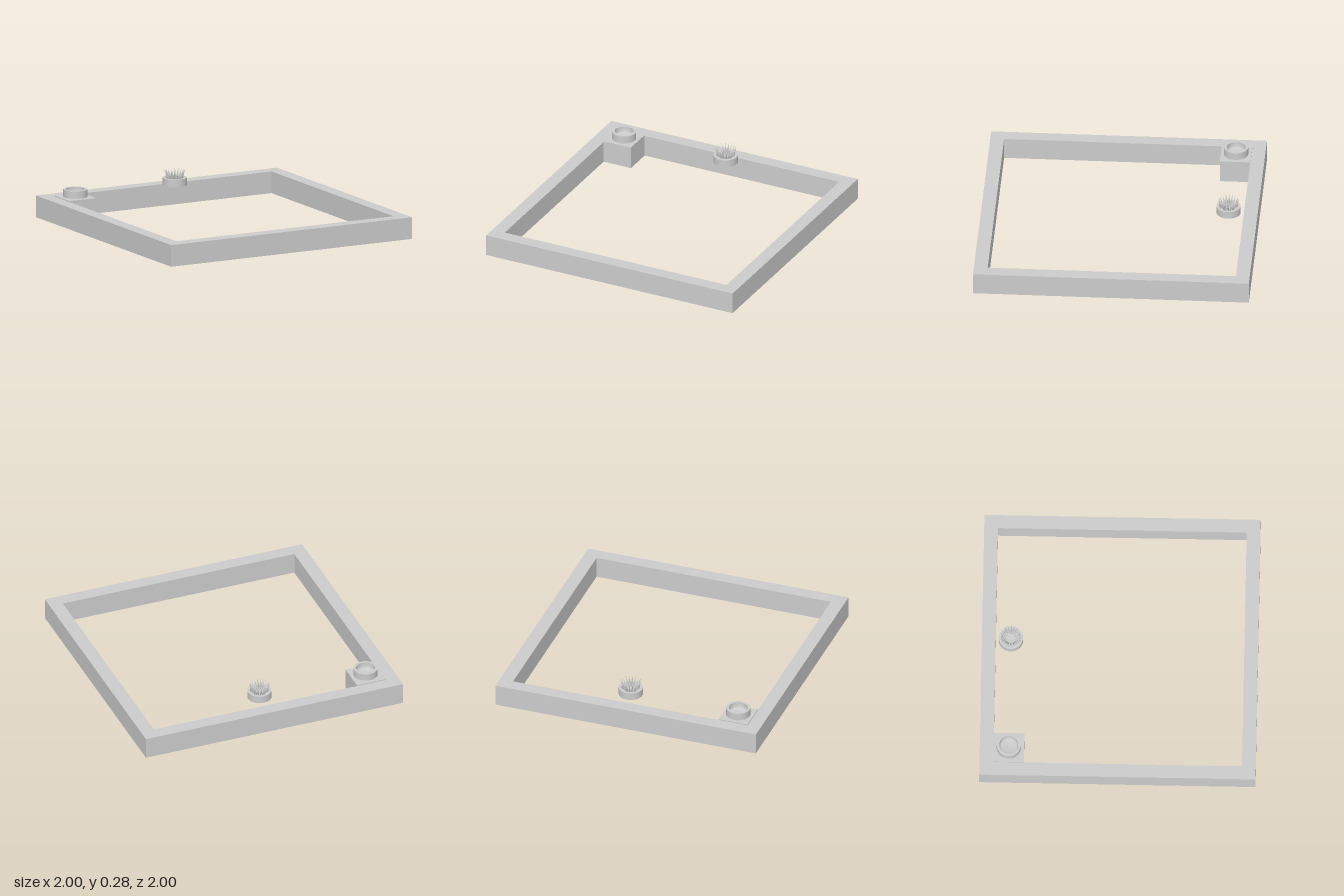
import * as THREE from 'three';

const grey = new THREE.MeshStandardMaterial({ color: 0xcccccc, side: THREE.DoubleSide });
const flat = new THREE.MeshStandardMaterial({ color: 0xcccccc, flatShading: true });

function add(parent, name, geometry, material, x = 0, y = 0, z = 0) {
  const mesh = new THREE.Mesh(geometry, material);
  mesh.name = name;
  mesh.position.set(x, y, z);
  parent.add(mesh);
  return mesh;
}

// Square outline with half-width h
function square(PathType, h) {
  const p = new PathType();
  p.moveTo(-h, -h);
  p.lineTo(h, -h);
  p.lineTo(h, h);
  p.lineTo(-h, h);
  p.closePath();
  return p;
}

// Shallow round pot: straight wall, flat rim, hollow with a rounded floor.
// Repeated points keep the hard edges sharp.
function potGeometry() {
  const profile = [
    [0, 0], [0.088, 0], [0.088, 0], [0.088, 0.055], [0.088, 0.055],
    [0.068, 0.055], [0.068, 0.055], [0.068, 0.022], [0.058, 0.014],
    [0.03, 0.01], [0, 0.01],
  ].map(([r, y]) => new THREE.Vector2(r, y));
  return new THREE.LatheGeometry(profile, 32);
}

export function createModel() {
  const model = new THREE.Group();

  // Square border wall
  const outline = square(THREE.Shape, 1);
  outline.holes.push(square(THREE.Path, 0.9));
  const wall = new THREE.ExtrudeGeometry(outline, { depth: 0.16, bevelEnabled: false });
  wall.rotateX(-Math.PI / 2);
  add(model, 'borderWall', wall, flat);

  // Corner pedestal with an empty pot
  add(model, 'cornerPedestal', new THREE.BoxGeometry(0.222, 0.167, 0.222), flat, -0.79, 0.0835, -0.79);
  add(model, 'emptyPot', potGeometry(), grey, -0.79, 0.17, -0.79);

  // Pot with a spiky plant
  const planter = new THREE.Group();
  planter.name = 'planter';
  planter.position.set(0.035, 0.172, -0.79);
  model.add(planter);
  add(planter, 'plantPot', potGeometry(), grey);

  // Ring of pointed leaves leaning outward
  const count = 18;
  const leaf = new THREE.OctahedronGeometry(1);
  leaf.scale(0.009, 0.054, 0.007);
  leaf.rotateZ(-0.44);
  for (let i = 0; i < count; i++) {
    const pivot = new THREE.Group();
    pivot.name = 'leafPivot';
    pivot.rotation.y = (i / count) * Math.PI * 2;
    planter.add(pivot);
    add(pivot, 'leaf', leaf, flat, 0.053, 0.064, 0);
  }
  return model;
}
